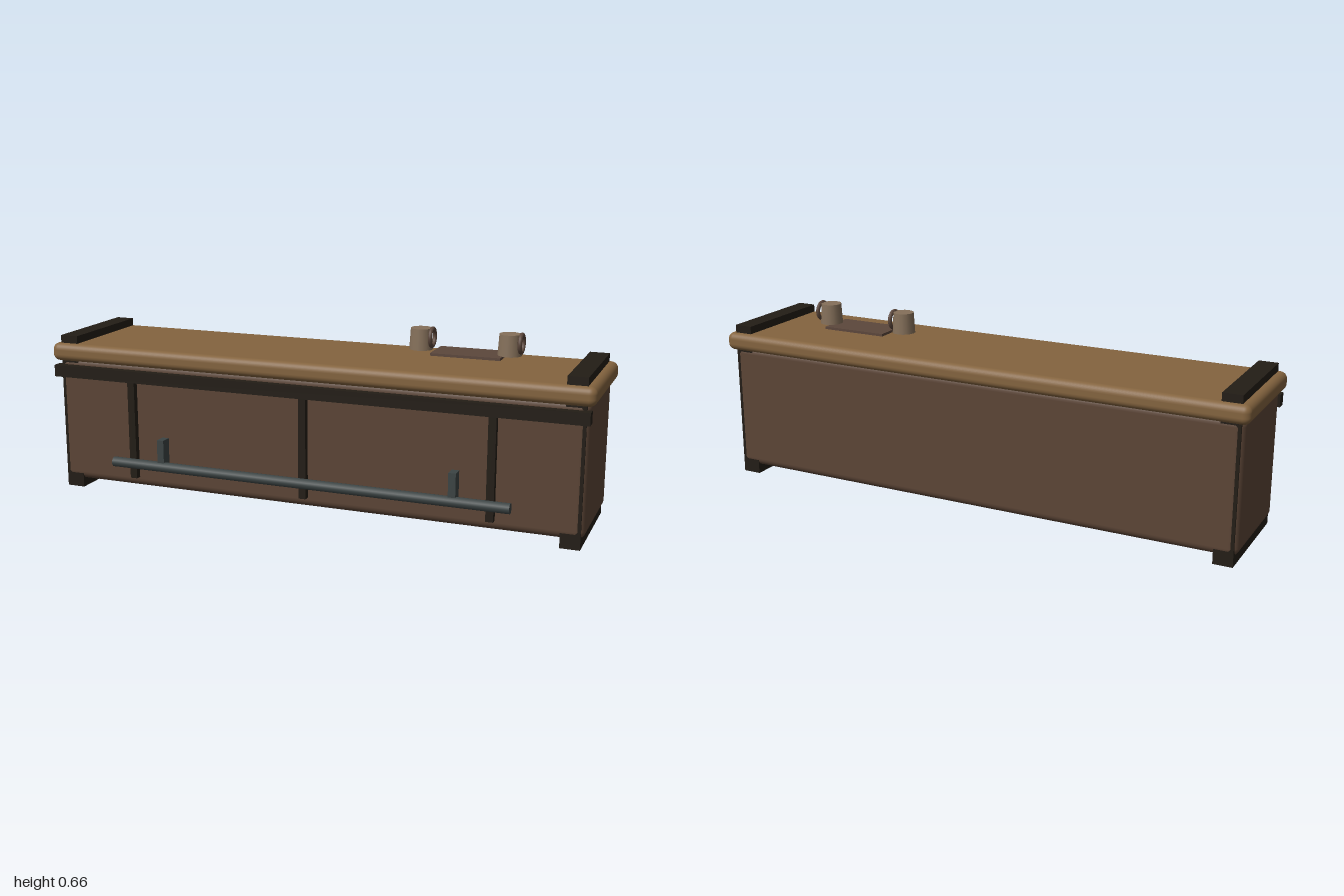
import * as THREE from 'three';
import { RoundedBoxGeometry } from 'three/addons/geometries/RoundedBoxGeometry.js';

const mat = (color) => new THREE.MeshStandardMaterial({ color });

export function createModel() {
  const group = new THREE.Group();
  const wood = mat(0x5c4536), topWood = mat(0x84643f), dark = mat(0x231d16);
  const iron = mat(0x3c4444), clay = mat(0x85705a), clayDark = mat(0x5c473c);

  const add = (name, geometry, material, x = 0, y = 0, z = 0) => {
    const mesh = new THREE.Mesh(geometry, material);
    mesh.name = name;
    mesh.position.set(x, y, z);
    group.add(mesh);
    return mesh;
  };
  // Box given by its min and max along each axis
  const box = (name, material, [x0, x1], [y0, y1], [z0, z1], radius = 0) => {
    const size = [x1 - x0, y1 - y0, z1 - z0];
    const geometry = radius
      ? new RoundedBoxGeometry(...size, 4, radius)
      : new THREE.BoxGeometry(...size);
    return add(name, geometry, material, (x0 + x1) / 2, (y0 + y1) / 2, (z0 + z1) / 2);
  };

  // Counter body and overhanging top
  box('counterBody', wood, [-0.98, 0.98], [0.03, 0.5], [-0.22, 0.19], 0.03);
  box('counterTop', topWood, [-1, 1], [0.484, 0.55], [-0.242, 0.212], 0.025);

  // End frames: feet below, cleats above
  for (const s of [-1, 1]) {
    const x = s * 0.935;
    box('endFrame', dark, [x - 0.034, x + 0.034], [0, 0.578], [-0.219, 0.189]);
  }

  // Front trim and battens
  box('frontTrim', dark, [-0.985, 0.985], [0.427, 0.47], [0.18, 0.217]);
  for (const x of [-0.67, 0, 0.67]) {
    box('frontBatten', dark, [x - 0.0135, x + 0.0135], [0.067, 0.428], [0.18, 0.212]);
  }

  // Foot rail on two brackets
  const rail = add('footRail', new THREE.CylinderGeometry(0.0185, 0.0185, 1.485, 12), iron, 0, 0.127, 0.224);
  rail.rotation.z = Math.PI / 2;
  for (const x of [-0.545, 0.545]) {
    box('railBracket', iron, [x - 0.013, x + 0.013], [0.127, 0.228], [0.19, 0.232]);
  }

  // Tray and mugs
  box('tray', clayDark, [0.4, 0.645], [0.574, 0.583], [-0.105, 0.03]);
  for (const x of [0.348, 0.661]) {
    add('mug', new THREE.CylinderGeometry(0.037, 0.0415, 0.074, 16), clay, x, 0.619, -0.038);
    const handle = add('mugHandle', new THREE.TorusGeometry(0.0305, 0.0075, 8, 20), clayDark, x + 0.04, 0.625, -0.038);
    handle.rotation.y = Math.PI / 2;
  }
  return group;
}
